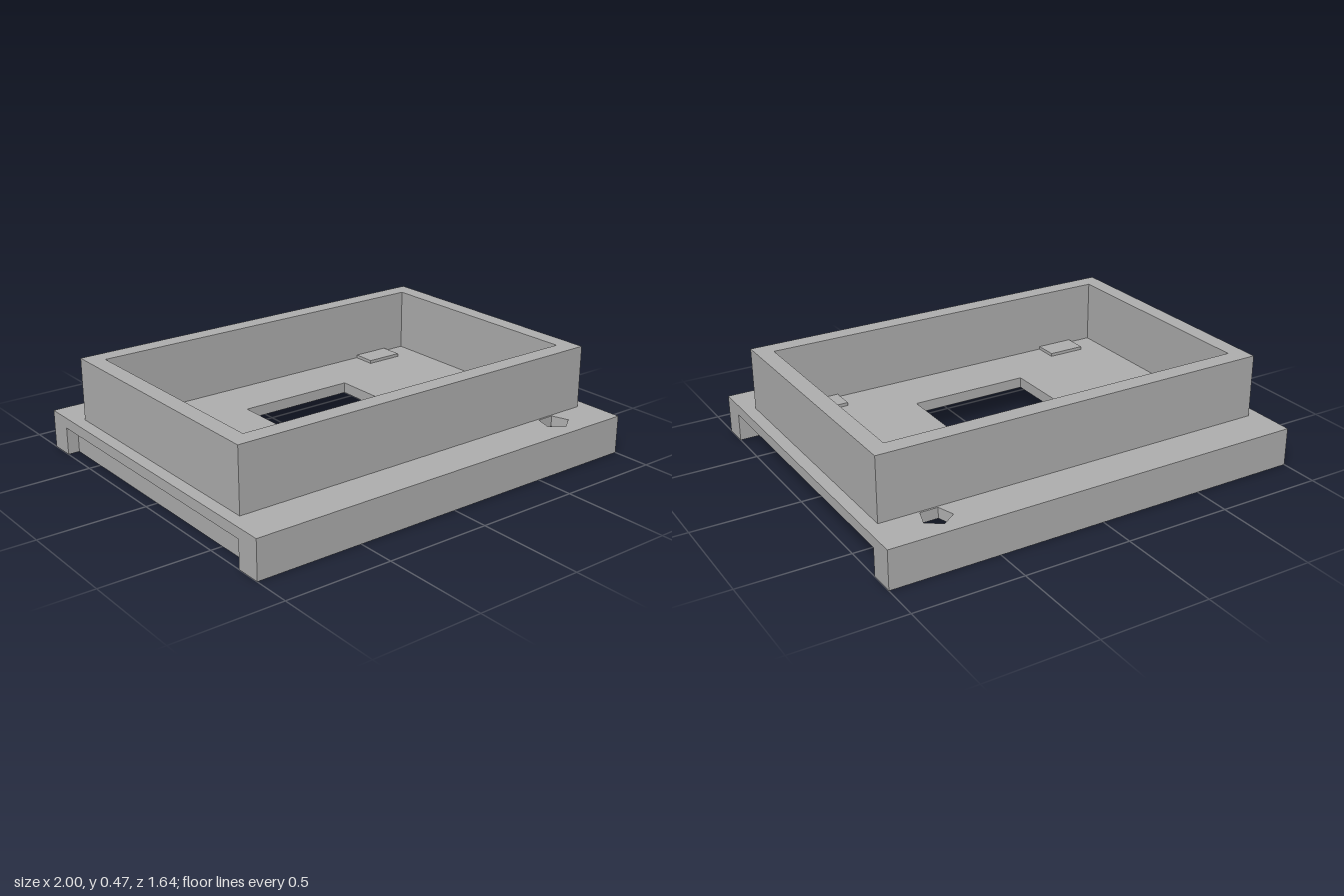
import * as THREE from 'three';

export function createModel() {
  const group = new THREE.Group();
  const grey = new THREE.MeshStandardMaterial({ color: 0xb0b0b0 });
  grey.name = 'grey';

  const add = (name, geometry) => {
    const mesh = new THREE.Mesh(geometry, grey);
    mesh.name = name;
    group.add(mesh);
  };
  const loop = (pts, Type = THREE.Shape) => new Type(pts.map(([x, z]) => new THREE.Vector2(x, z)));
  const rect = (x0, x1, z0, z1) => [[x0, z0], [x1, z0], [x1, z1], [x0, z1]];
  // Outline in x and z, raised from y0 to y1
  const slab = (shape, y0, y1) => new THREE.ExtrudeGeometry(shape, { depth: y1 - y0, bevelEnabled: false })
    .rotateX(Math.PI / 2).translate(0, y1, 0);
  const box = (x0, x1, y0, y1, z0, z1) => new THREE.BoxGeometry(x1 - x0, y1 - y0, z1 - z0)
    .translate((x0 + x1) / 2, (y0 + y1) / 2, (z0 + z1) / 2);

  // Five-sided screw hole, pointing outward on side s
  const hole = (s) => Array.from({ length: 5 }, (_, i) => {
    const a = Math.PI / 2 + i * Math.PI * 0.4;
    return [0.72 + 0.07 * Math.cos(a), s * (0.69 + 0.07 * Math.sin(a))];
  });

  // Base plate with a central window and two screw holes
  const plate = loop(rect(-1, 1, -0.82, 0.82));
  plate.holes.push(loop(rect(-0.287, 0.285, -0.287, 0.283), THREE.Path));
  for (const s of [1, -1]) plate.holes.push(loop(hole(s), THREE.Path));
  add('basePlate', slab(plate, 0.13, 0.18));

  // Side rails, notched where the screw holes pass through
  for (const s of [1, -1]) {
    const h = hole(s);
    const rail = loop([
      [-1, s * 0.82], [-1, s * 0.7], [0.657, s * 0.7],
      h[1], h[0], h[4],
      [0.783, s * 0.7], [1, s * 0.7], [1, s * 0.82],
    ]);
    add(s > 0 ? 'frontRail' : 'backRail', slab(rail, 0, 0.13));
  }

  // Stop wall across the closed end of the channel
  add('endStop', box(-0.945, -0.85, 0, 0.13, -0.7, 0.7));

  // Upright frame on the plate
  const frame = loop(rect(-0.942, 0.942, -0.625, 0.625));
  frame.holes.push(loop(rect(-0.863, 0.863, -0.543, 0.543), THREE.Path));
  add('upperFrame', slab(frame, 0.18, 0.475));

  // Thin pads on the floor, by the long walls
  for (const sx of [1, -1]) {
    for (const sz of [1, -1]) {
      add('floorPad', box(-0.09, 0.09, 0.18, 0.195, -0.055, 0.055).translate(sx * 0.655, 0, sz * 0.485));
    }
  }
  return group;
}
